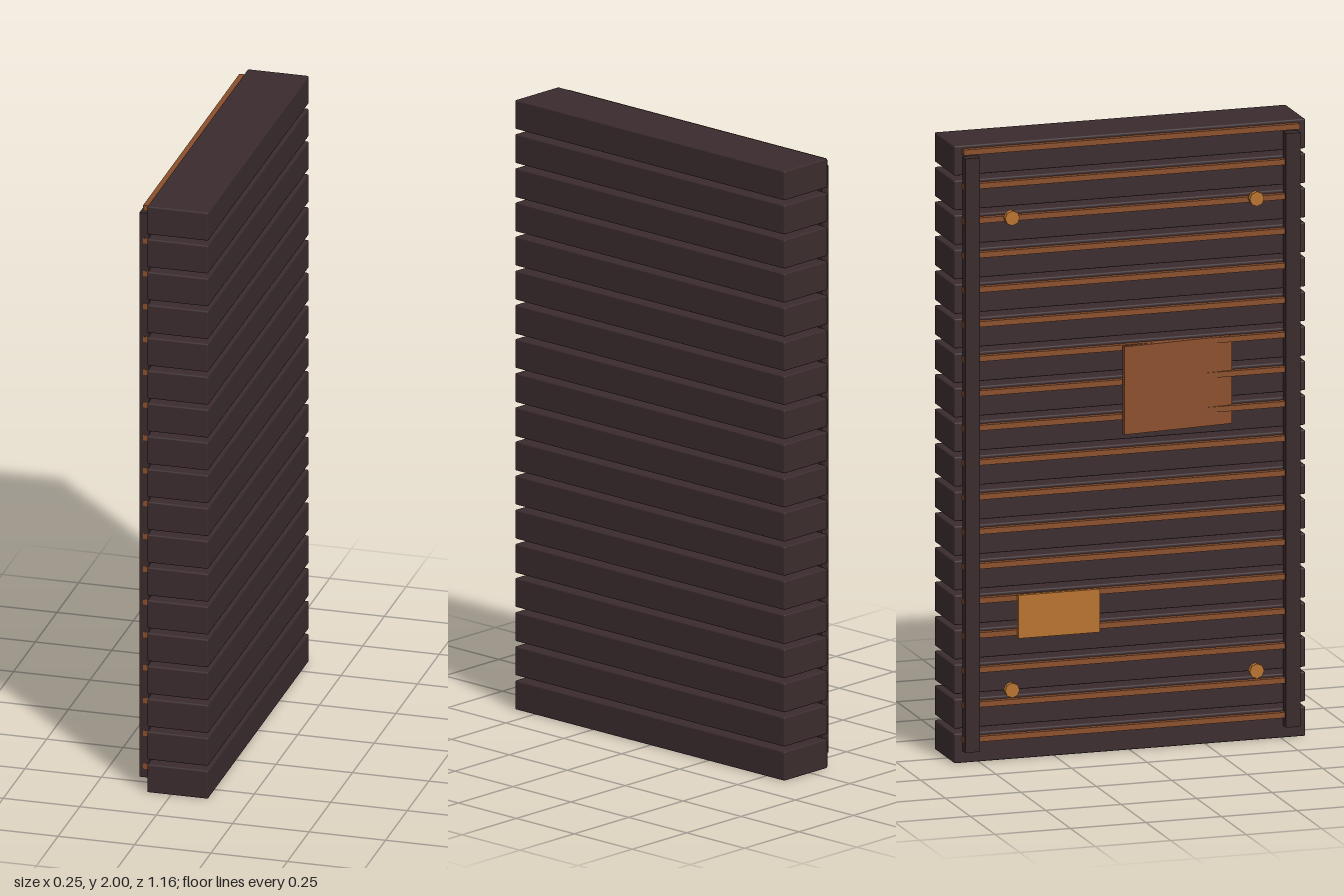
import * as THREE from 'three';
import { RoundedBoxGeometry } from 'three/addons/geometries/RoundedBoxGeometry.js';

const material = (name, color) => {
  const m = new THREE.MeshStandardMaterial({ color });
  m.name = name;
  return m;
};

export function createModel() {
  const group = new THREE.Group();
  const charred = material('charred wood', 0x3b2c2e);
  const frame = material('dark frame', 0x3a2a2b);
  const rust = material('rusty metal', 0x8b4f2c);
  const copper = material('copper', 0xb87330);

  const add = (name, geometry, mat, x, y, z) => {
    const mesh = new THREE.Mesh(geometry, mat);
    mesh.name = name;
    mesh.position.set(x, y, z);
    group.add(mesh);
    return mesh;
  };

  // Stacked horizontal slats, each with a thin rod along its back
  const count = 18, height = 0.096, pitch = (2 - height) / (count - 1);
  const slat = new RoundedBoxGeometry(0.2, height, 1.164, 1, 0.005);
  const rod = new THREE.BoxGeometry(0.018, 0.018, 1.112);
  for (let i = 0; i < count; i++) {
    add('slat', slat, charred, 0.022, height / 2 + i * pitch, 0);
    add('backRod', rod, rust, -0.089, 0.078 + i * pitch, 0);
  }

  // Upright posts joining the slats
  const post = new THREE.BoxGeometry(0.032, 1.925, 0.048);
  for (const side of [-1, 1]) add('post', post, frame, -0.094, 1.0025, side * 0.531);

  // Patch plates, the larger one hanging askew
  const large = add('largePlate', new THREE.BoxGeometry(0.014, 0.285, 0.37), rust, -0.1, 1.177, 0.15);
  large.rotation.y = 0.1;
  add('smallPlate', new THREE.BoxGeometry(0.015, 0.14, 0.27), copper, -0.1055, 0.468, -0.246);

  // Bolt heads near the four corners
  const bolt = new THREE.CylinderGeometry(0.024, 0.024, 0.019, 8).toNonIndexed();
  bolt.computeVertexNormals();
  bolt.rotateZ(Math.PI / 2);
  for (const y of [0.235, 1.765])
    for (const z of [-0.405, 0.405]) add('bolt', bolt, copper, -0.1175, y, z);

  return group;
}
